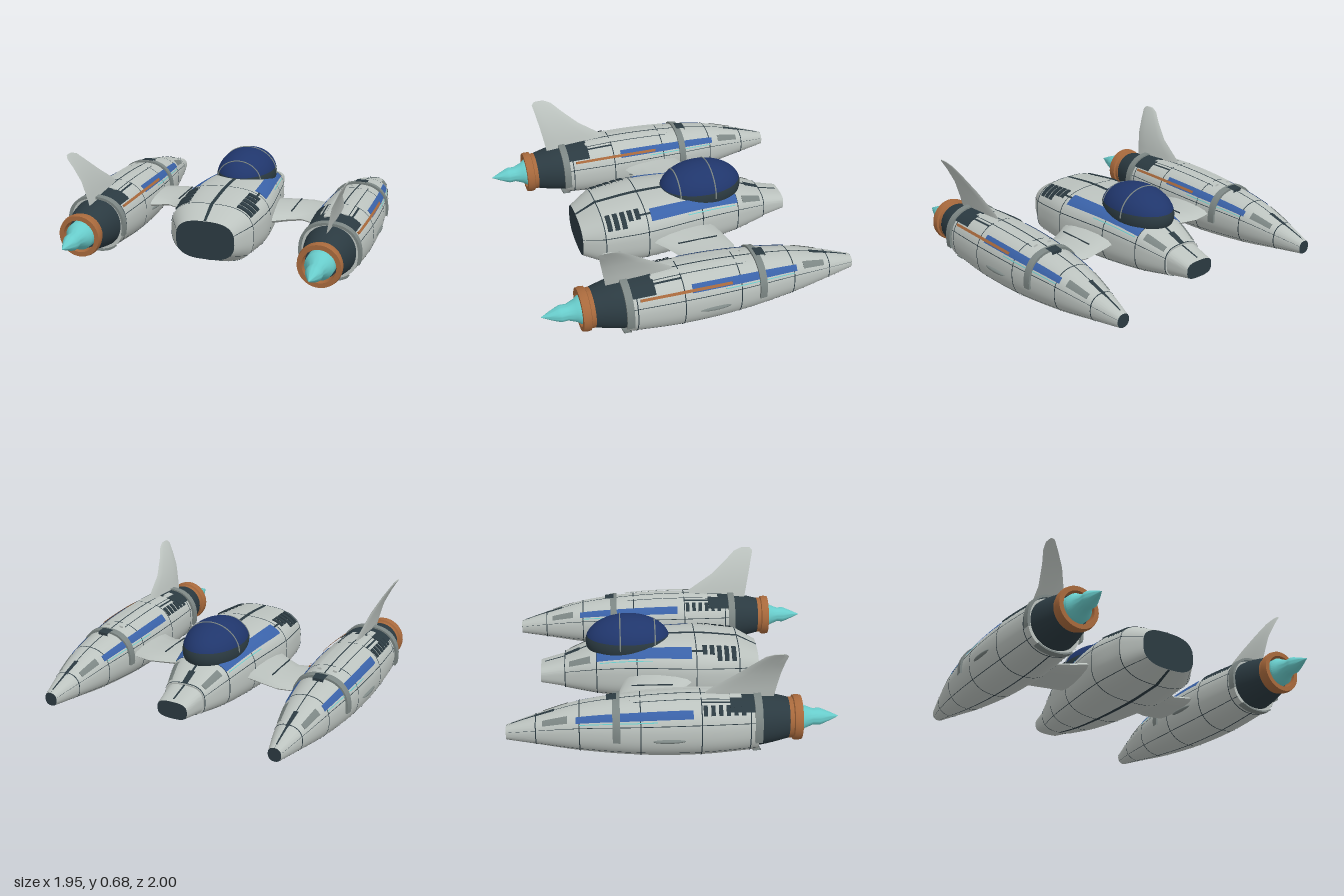
import * as THREE from 'three';
import { toCreasedNormals } from 'three/addons/utils/BufferGeometryUtils.js';

const mat = (name, color) => Object.assign(
  new THREE.MeshStandardMaterial({ color, side: THREE.DoubleSide }), { name });
const M = {
  hull: mat('hullGrey', 0xbcc3bf), dark: mat('darkSlate', 0x2b3a41), blue: mat('stripeBlue', 0x3a62a8),
  glass: mat('canopyBlue', 0x20366c), copper: mat('copper', 0xa8693c), cyan: mat('flameCyan', 0x68cccb),
  metal: mat('midGrey', 0x7c8684),
};

function add(parent, name, geo, material) {
  const mesh = new THREE.Mesh(geo, material);
  mesh.name = name;
  parent.add(mesh);
  return mesh;
}

function meshData(pos, idx) {
  const g = new THREE.BufferGeometry();
  g.setAttribute('position', new THREE.Float32BufferAttribute(pos, 3));
  g.setIndex(idx);
  return toCreasedNormals(g, 0.6);
}

// Body of superellipse sections; stations are [z, centreY, halfWidth, halfHeight]
function body(st, n) {
  const slope = (i, k) => {
    const a = st[Math.max(i - 1, 0)], b = st[Math.min(i + 1, st.length - 1)];
    return (b[k] - a[k]) / (b[0] - a[0]);
  };
  const value = (z, k) => {
    let i = 0;
    while (i < st.length - 2 && z > st[i + 1][0]) i++;
    const h = st[i + 1][0] - st[i][0], t = THREE.MathUtils.clamp((z - st[i][0]) / h, 0, 1);
    const t2 = t * t, t3 = t2 * t;
    return (2 * t3 - 3 * t2 + 1) * st[i][k] + (t3 - 2 * t2 + t) * h * slope(i, k)
      + (3 * t2 - 2 * t3) * st[i + 1][k] + (t3 - t2) * h * slope(i + 1, k);
  };
  const pw = (v) => Math.sign(v) * Math.abs(v) ** (2 / n);
  return {
    z0: st[0][0], z1: st[st.length - 1][0],
    // angle from the top at which the section reaches a fraction u of its half width
    ang: (u) => Math.sign(u) * Math.asin(Math.abs(u) ** (n / 2)),
    at: (z, off, a) => [Math.max(0, value(z, 2) + off) * pw(Math.sin(a)),
      value(z, 1) + Math.max(0, value(z, 3) + off) * pw(Math.cos(a)), z],
  };
}

// Rows [z, offset] along a body
function span(z0, z1, off) {
  const n = Math.max(1, Math.ceil((z1 - z0) / 0.035));
  return Array.from({ length: n + 1 }, (_, i) => [z0 + (z1 - z0) * i / n, off]);
}
const raised = (z0, z1, h) => [[z0, 0], ...span(z0, z1, h), [z1, 0]];

// Sheet lying on a body between two angles
function sheet(b, rows, a0 = -Math.PI, a1 = Math.PI) {
  const n = Math.max(2, Math.ceil((a1 - a0) / 0.098)), pos = [], idx = [];
  rows.forEach(([z, off], i) => {
    for (let j = 0; j <= n; j++) {
      pos.push(...b.at(z, off, a0 + (a1 - a0) * j / n));
      if (i && j) {
        const d = i * (n + 1) + j, c = d - 1, e = d - n - 1, a = e - 1;
        idx.push(a, c, e, e, c, d);
      }
    }
  });
  return meshData(pos, idx);
}
// Sheet between two width fractions
const strip = (b, z0, z1, u0, u1, h = 0.004) => sheet(b, raised(z0, z1, h), b.ang(u0), b.ang(u1));

// Panel seams: rings at given z, long seams at given angles
function seams(parent, b, rings, angles) {
  for (const z of rings) add(parent, 'ringSeam', sheet(b, span(z - 0.003, z + 0.003, 0.002)), M.dark);
  for (const a of angles) add(parent, 'longSeam', sheet(b, span(b.z0, b.z1, 0.002), a - 0.012, a + 0.012), M.dark);
}

// Thin blade from lens-shaped ribs; each rib is a function (chord 0..1, side) -> point
function blade(ribs, flip) {
  const n = 12, pos = [], idx = [];
  const tri = (a, b, c) => (flip ? idx.push(a, c, b) : idx.push(a, b, c));
  ribs.forEach((rib, i) => {
    for (let k = 0; k < n; k++) {
      const a = 2 * Math.PI * k / n;
      pos.push(...rib((1 - Math.cos(a)) / 2, Math.sin(a)));
      const p = i * n + k, q = i * n + (k + 1) % n;
      if (i) { tri(p - n, q - n, p); tri(q - n, q, p); }
      if (i === 0 && k) tri(q, p, 0);
      if (i === ribs.length - 1 && k) tri(p, q, i * n);
    }
  });
  return meshData(pos, idx);
}

function lathe(points) {
  const g = new THREE.LatheGeometry(points.map(([r, z]) => new THREE.Vector2(r, z)), 40);
  return toCreasedNormals(g.rotateX(Math.PI / 2), 0.6);
}

function pod() {
  const g = new THREE.Group();
  const b = body([[-1, 0.157, 0.042, 0.043], [-0.82, 0.175, 0.09, 0.086], [-0.56, 0.192, 0.145, 0.143],
    [-0.2, 0.197, 0.187, 0.182], [0.16, 0.2, 0.195, 0.191], [0.5, 0.203, 0.176, 0.17]], 2.3);
  add(g, 'podHull', sheet(b, [...span(-1, 0.5, 0), [0.5, -0.04]]), M.hull);
  add(g, 'podNoseCap', sheet(b, [[-1, -1], [-1, 0]]), M.dark);
  seams(g, b, [-0.82, -0.56, -0.2, 0.16, 0.45], [0, 1.25, -1.25, 2.2, -2.2, Math.PI]);

  // Painted and raised trim
  for (const s of [-1, 1]) {
    const mirror = (name, z0, z1, u0, u1, m, h) =>
      add(g, name, strip(b, z0, z1, Math.min(s * u0, s * u1), Math.max(s * u0, s * u1), h), m);
    mirror('blueStripe', -0.58, 0.11, 0.71, 0.88, M.blue);
    mirror('lightLine', -0.56, -0.1, 0.905, 0.918, M.cyan);
    mirror('nosePlate', -0.78, -0.63, 0.62, 0.86, M.metal);
    mirror('spineRidge', -0.26, 0.34, 0.2, 0.34, M.hull, 0.012);
    mirror('spineSlit', -0.24, 0.33, 0.36, 0.385, M.dark);
    mirror('rearSlit', 0.16, 0.34, 0.46, 0.52, M.dark);
    const blister = add(g, 'sideBlister', new THREE.SphereGeometry(1, 20, 12), M.metal);
    blister.scale.set(0.018, 0.013, 0.1);
    blister.position.set(s * 0.19, 0.172, -0.03);
  }
  add(g, 'noseSlot', strip(b, -0.97, -0.83, -0.08, 0.08), M.dark);
  add(g, 'noseSlotWide', strip(b, -0.83, -0.71, -0.12, 0.12), M.dark);
  add(g, 'topSensor', strip(b, -0.4, -0.34, -0.2, 0.2, 0.018), M.dark);
  add(g, 'rearDeck', sheet(b, raised(0.33, 0.5, 0.006), -0.85, 0.85), M.dark);
  add(g, 'deckRidge', strip(b, 0.33, 0.4, -0.35, -0.15, 0.014), M.hull);
  for (let i = 0; i < 6; i++) {
    const z = 0.17 + i * 0.045;
    add(g, 'louver', strip(b, z, z + 0.024, -0.84, -0.6, 0.008), M.dark);
  }
  add(g, 'copperPipe', strip(b, -0.14, 0.43, 0.81, 0.86, 0.012), M.copper);

  // Bands around the pod
  add(g, 'frontBand', sheet(b, raised(-0.365, -0.32, 0.014), -1.7, 1.7), M.metal);
  add(g, 'rearBand', sheet(b, raised(0.475, 0.52, 0.016), -1.85, 1.85), M.metal);
  add(g, 'rearBandLower', sheet(b, raised(0.475, 0.52, 0.01), 2.5, 3.78), M.metal);

  // Engine
  const cowl = body([[0.47, 0.206, 0.165, 0.163], [0.58, 0.21, 0.148, 0.148], [0.7, 0.21, 0.118, 0.12]], 2.1);
  add(g, 'engineCowl', sheet(cowl, [...span(0.47, 0.7, 0), [0.7, -1]]), M.dark);
  add(g, 'nozzleRing', lathe([[0.1, 0.69], [0.124, 0.69], [0.124, 0.715], [0.135, 0.72], [0.138, 0.745],
    [0.133, 0.768], [0.104, 0.768], [0.1, 0.69]]), M.copper).position.y = 0.21;
  add(g, 'flame', lathe([[0.09, 0.7], [0.088, 0.765], [0.07, 0.79], [0.05, 0.84], [0.052, 0.88],
    [0.045, 0.9], [0.024, 0.95], [0, 1]]), M.cyan).position.y = 0.21;
  return g;
}

function fuselage() {
  const g = new THREE.Group();
  g.name = 'fuselage';
  const b = body([[-0.67, 0.19, 0.137, 0.1], [-0.46, 0.213, 0.202, 0.158], [-0.2, 0.225, 0.25, 0.193],
    [0.18, 0.226, 0.295, 0.205], [0.46, 0.22, 0.27, 0.185]], 2.8);
  const nose = body([[-0.825, 0.18, 0.102, 0.056], [-0.67, 0.187, 0.127, 0.092]], 3);
  const tail = body([[0.46, 0.22, 0.27, 0.185], [0.59, 0.213, 0.19, 0.124]], 2.8);
  add(g, 'mainHull', sheet(b, [[-0.67, -1], ...span(-0.67, 0.46, 0)]), M.hull);
  add(g, 'noseBlock', sheet(nose, span(-0.825, -0.67, 0)), M.hull);
  add(g, 'noseCap', sheet(nose, [[-0.825, -1], [-0.825, 0]]), M.dark);
  add(g, 'tailFairing', sheet(tail, span(0.46, 0.59, 0)), M.hull);
  add(g, 'tailCap', sheet(tail, [[0.59, 0], [0.59, -1]]), M.dark);
  const long = [0, 1.3, -1.3, 2.2, -2.2, Math.PI];
  seams(g, b, [-0.667, -0.46, -0.2, 0.18, 0.457], long);
  seams(g, tail, [], long);

  for (const s of [-1, 1]) {
    const side = (name, z0, z1, u0, u1, m, h) =>
      add(g, name, strip(b, z0, z1, Math.min(s * u0, s * u1), Math.max(s * u0, s * u1), h), m);
    side('blueStripe', -0.46, 0.15, 0.62, 0.87, M.blue);
    side('lightLine', -0.44, -0.1, 0.9, 0.912, M.cyan);
    side('nosePlate', -0.64, -0.5, 0.68, 0.88, M.metal);
    side('louverSpine', 0.15, 0.22, 0.7, 0.74, M.dark);
    for (let i = 0; i < 5; i++) {
      const z = 0.22 + i * 0.047;
      side('louver', z, z + 0.029, 0.56, i < 2 ? 0.8 : 0.9, M.dark, 0.008);
    }
  }
  add(g, 'noseSlot', strip(b, -0.665, -0.57, -0.13, 0.13), M.dark);
  add(g, 'noseSlotFront', strip(nose, -0.8, -0.67, -0.05, 0.05), M.dark);

  // Canopy: glass over a dark rim, with two frame hoops
  const canopy = new THREE.Group();
  canopy.name = 'canopy';
  canopy.position.set(0, 0.395, -0.255);
  const split = 1.33;
  add(canopy, 'canopyGlass', new THREE.SphereGeometry(1, 48, 20, 0, Math.PI * 2, 0, split), M.glass).scale.set(0.192, 0.167, 0.275);
  add(canopy, 'canopyRim', new THREE.SphereGeometry(1, 48, 16, 0, Math.PI * 2, split, Math.PI - split), M.dark).scale.set(0.192, 0.167, 0.275);
  for (const z of [-0.05, 0.175]) {
    const f = Math.sqrt(1 - (z / 0.275) ** 2);
    const hoop = add(canopy, 'canopyFrame', new THREE.TorusGeometry(1, 0.03, 6, 40, Math.PI), M.metal);
    hoop.scale.set(0.192 * f, 0.167 * f, 0.16);
    hoop.position.z = z;
  }
  g.add(canopy);
  return g;
}

// Stub wing ribs: [x, leadingZ, trailingZ, centreY, halfThickness]
function wing(s) {
  const rows = [[0.18, -0.27, 0.24, 0.217, 0.048], [0.26, -0.285, 0.17, 0.217, 0.046], [0.37, -0.312, 0.09, 0.216, 0.04],
    [0.46, -0.33, 0.04, 0.214, 0.036], [0.54, -0.315, 0.075, 0.213, 0.035], [0.65, -0.29, 0.13, 0.213, 0.035]];
  return blade(rows.map(([x, a, b, y, t]) => (c, k) => [s * x, y + t * k, a + (b - a) * c]), s < 0);
}

// Tail fin ribs: [y, x, leadingZ, trailingZ], curving outward toward the tip
function fin(s) {
  const rows = [[0.35, 0.765, 0.14, 0.6], [0.42, 0.778, 0.21, 0.612], [0.52, 0.8, 0.36, 0.63],
    [0.61, 0.84, 0.465, 0.648], [0.67, 0.873, 0.53, 0.662], [0.688, 0.885, 0.575, 0.645]];
  return blade(rows.map(([y, x, a, b], i) => (c, k) => [s * x - s * k * (0.012 - i * 0.0015), y, a + (b - a) * c]), s < 0);
}

export function createModel() {
  const model = new THREE.Group();
  model.name = 'spacecraft';
  model.add(fuselage());
  for (const s of [-1, 1]) {
    const label = s > 0 ? 'left' : 'right';
    const p = pod();
    p.name = label + 'EnginePod';
    p.position.x = s * 0.765;
    model.add(p);
    add(model, label + 'Wing', wing(s), M.hull);
    add(model, label + 'Fin', fin(s), M.hull);
    add(model, label + 'WingSeam', new THREE.BoxGeometry(0.007, 0.006, 0.26), M.dark).position.set(s * 0.39, 0.254, -0.11);
  }
  return model;
}
